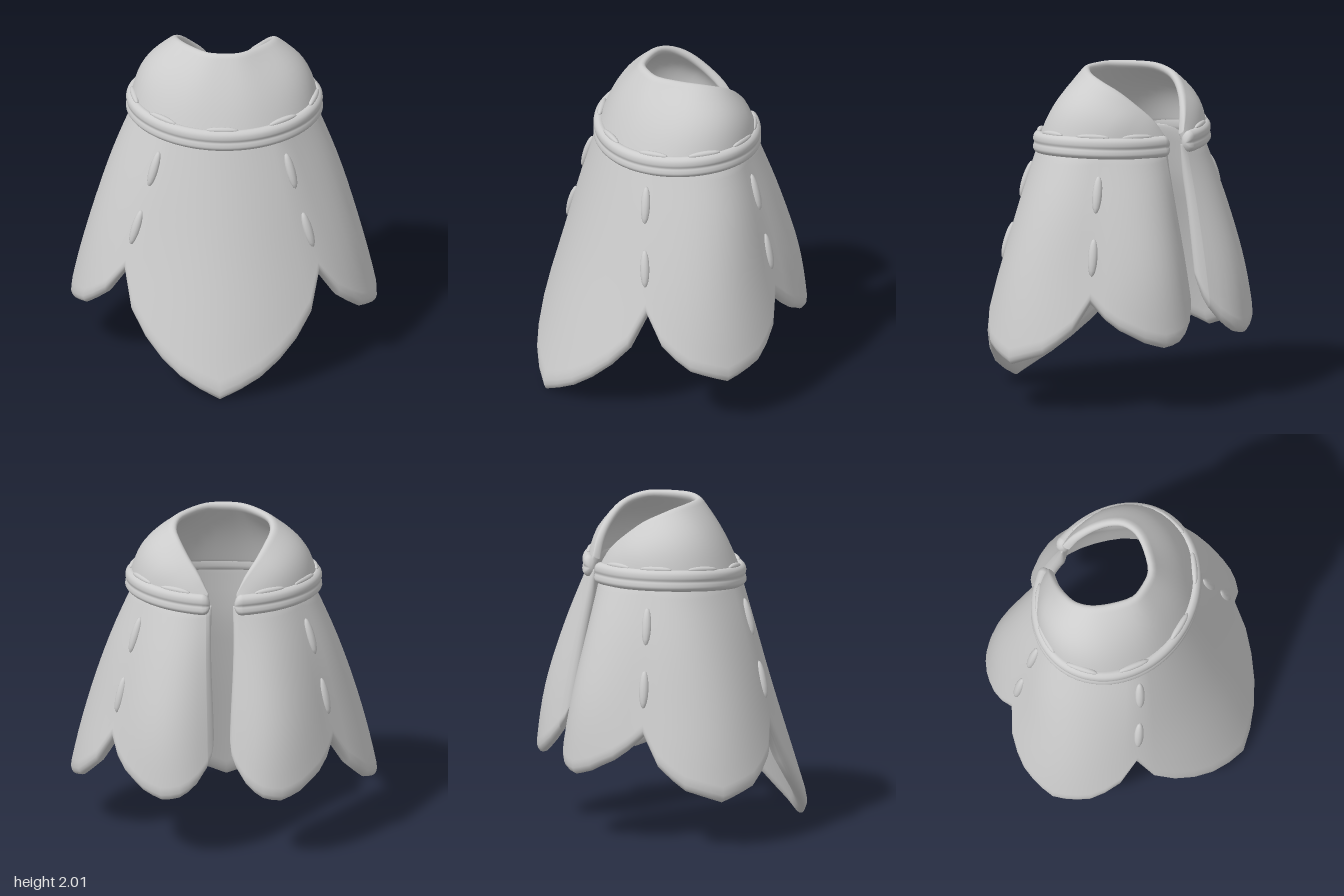
import * as THREE from 'three';
import { mergeVertices } from 'three/addons/utils/BufferGeometryUtils.js';

const V = (x, y, z) => new THREE.Vector3(x, y, z);
const cloth = new THREE.MeshStandardMaterial({ color: 0xcccccc });
cloth.name = 'plain cloth';

// Piecewise linear lookup in [[x, y], ...]
function lookup(table, x) {
  for (let i = 1; i < table.length; i++) {
    const [x0, y0] = table[i - 1], [x1, y1] = table[i];
    if (x <= x1) return y0 + (y1 - y0) * (x - x0) / (x1 - x0);
  }
  return table[table.length - 1][1];
}

// Parameter steps from a to b, with extra steps where the edges round over
function steps(a, b, n, w) {
  const out = [];
  for (let i = 0; i <= n; i++) out.push(a + (b - a) * i / n);
  for (const k of [0.06, 0.25, 0.55, 1]) out.push(a + k * w, b - k * w);
  return out.sort((p, q) => p - q).filter((p, i, s) => i === 0 || p - s[i - 1] > 1e-5);
}

// Grid of points -> indexed faces
function addGrid(pos, idx, rows, flip) {
  const base = pos.length / 3, m = rows[0].length;
  rows.forEach(r => r.forEach(p => pos.push(p.x, p.y, p.z)));
  for (let i = 0; i < rows.length - 1; i++) for (let j = 0; j < m - 1; j++) {
    const a = base + i * m + j, b = a + m, c = b + 1, d = a + 1;
    if (flip) idx.push(a, c, b, a, d, c); else idx.push(a, b, c, a, c, d);
  }
}

function finish(pos, idx) {
  const g = new THREE.BufferGeometry();
  g.setAttribute('position', new THREE.Float32BufferAttribute(pos, 3));
  g.setIndex(idx);
  const merged = mergeVertices(g, 1e-4);
  merged.computeVertexNormals();
  return merged;
}

// Thick sheet with rounded edges, following surface P(u, v)
function shell(P, uMax, nu, nv, wu, wv, thickAt, flip) {
  const us = steps(-uMax, uMax, nu, wu), vs = steps(0, 1, nv, wv);
  const outer = [], inner = [], e = 0.004;
  for (const u of us) {
    const ro = [], ri = [];
    for (const v of vs) {
      const p = P(u, v), thick = thickAt(v);
      const du = P(Math.min(u + e, uMax), v).sub(P(Math.max(u - e, -uMax), v));
      const dv = P(u, Math.min(v + e, 1)).sub(P(u, Math.max(v - e, 0)));
      const n = du.cross(dv).normalize().multiplyScalar(flip ? -1 : 1);
      const d = Math.max(0, Math.min(1, (uMax - Math.abs(u)) / wu, (1 - v) / wv, v / wv));
      const h = Math.sqrt(1 - (1 - d) ** 2);
      ro.push(p.clone().addScaledVector(n, -thick / 2 * (1 - h)));
      ri.push(p.clone().addScaledVector(n, -thick / 2 * (1 + h)));
    }
    outer.push(ro); inner.push(ri);
  }
  const pos = [], idx = [];
  addGrid(pos, idx, outer, flip);
  addGrid(pos, idx, inner, !flip);
  return finish(pos, idx);
}

// Skirt guide lines as [x, z] at heights 1.6, 1.2, 0.8, 0.4, 0
const guide = pts => new THREE.CatmullRomCurve3(
  pts.map(([x, z], i) => V(x, 1.6 - 0.4 * i, z)), false, 'catmullrom');
const front = guide([[0, 0.345], [0, 0.455], [0, 0.57], [0, 0.695], [0, 0.82]]);
const frontSeam = guide([[0.335, 0.26], [0.445, 0.335], [0.562, 0.388], [0.68, 0.44], [0.785, 0.485]]);
const side = guide([[0.52, -0.07], [0.685, -0.03], [0.815, 0], [0.915, 0], [0.98, 0]]);
const backSeam = guide([[0.445, -0.325], [0.56, -0.38], [0.65, -0.425], [0.74, -0.465], [0.81, -0.5]]);
const back = guide([[0.265, -0.47], [0.32, -0.62], [0.36, -0.735], [0.37, -0.79], [0.37, -0.81]]);
const backEdge = guide([[0.065, -0.515], [0.05, -0.59], [0.03, -0.66], [0.025, -0.725], [0.03, -0.765]]);
const at = (curve, y) => curve.getPoint((1.6 - y) / 1.6);

// Lower edges of the petals, by position across each petal
const frontHem = [[0, 0], [0.3, 0.1], [0.59, 0.25], [0.82, 0.43], [0.94, 0.56], [1, 0.67]];
const sideHem = [[0, 0.28], [0.5, 0.355], [0.8, 0.465], [0.94, 0.58], [1, 0.67]];
const backHem = [[-1, 0.67], [-0.9, 0.605], [-0.7, 0.52], [-0.3, 0.425], [0, 0.395], [0.3, 0.41],
  [0.6, 0.47], [0.8, 0.55], [0.92, 0.64], [1, 0.78]];

function skirtPoint(u, v) {
  const a = Math.abs(u), k = a <= 0.5 ? 0 : a <= 1.5 ? 1 : 2, s = 2 * (a - k);
  const hem = k === 0 ? lookup(frontHem, s) : k === 1 ? lookup(sideHem, Math.abs(s)) : lookup(backHem, s);
  const y = 1.56 + (hem - 1.56) * v;
  const M = at([front, side, back][k], y);
  const R = at([frontSeam, backSeam, backEdge][k], y);
  const L = k === 0 ? V(-R.x, y, R.z) : at([null, frontSeam, backSeam][k], y);
  // Bowed cross-section through seam, middle and seam
  const p = M.clone().addScaledVector(R.clone().sub(L), s / 2)
    .addScaledVector(R.clone().add(L).multiplyScalar(0.5).sub(M), s * s);
  return V(u < 0 ? -p.x : p.x, y, p.z);
}

// Ring followed by the collar base and the band
const END = 2.98;
const bandY = a => 1.56 - 0.02 * Math.cos(a) - 0.015 * Math.cos(2 * a);
const ring = (a, off = 0, dy = 0) =>
  V((0.56 + off) * Math.sin(a), bandY(a) + dy, -0.09 + (0.45 + off) * Math.cos(a));

// Neck opening, from the front round to the back
const rim = new THREE.CatmullRomCurve3([V(-0.11, 2.005, 0.1), V(0, 2.005, 0.12), V(0.11, 2.005, 0.1), V(0.215, 2.002, 0),
  V(0.285, 1.992, -0.11), V(0.3, 1.96, -0.22), V(0.265, 1.91, -0.315), V(0.205, 1.83, -0.4),
  V(0.135, 1.735, -0.475), V(0.08, 1.63, -0.515)], false, 'catmullrom');

function collarPoint(u, v) {
  const t = Math.abs(u), a = t * END;
  const p = ring(a, 0.012).lerp(rim.getPoint((1 + 8 * t) / 9), v);
  const bulge = (0.02 + 0.05 * Math.sin(a) ** 2) * Math.sin(Math.PI * v) * Math.min(1, 4 * (1 - t));
  p.add(V(Math.sin(a) * 0.8, 0.6, Math.cos(a) * 0.8).multiplyScalar(bulge));
  return V(u < 0 ? -p.x : p.x, p.y, p.z);
}

// Band with two soft rolls, closed at both ends
function bandGeometry() {
  const profile = new THREE.CatmullRomCurve3([[-0.035, -0.045], [0.012, -0.058], [0.036, -0.036], [0.035, -0.012],
    [0.03, 0.004], [0.036, 0.024], [0.03, 0.054], [0.004, 0.072], [-0.035, 0.05]].map(([x, y]) => V(x, y, 0)), true);
  const pts = profile.getPoints(32);
  const rows = steps(-END - 0.03, END + 0.03, 72, 0.07).map(a => {
    const d = Math.min(1, Math.max(0, (END + 0.03 - Math.abs(a)) / 0.07));
    const h = Math.sqrt(1 - (1 - d) ** 2);
    return pts.map(p => ring(a, p.x * h, p.y * h));
  });
  const pos = [], idx = [];
  addGrid(pos, idx, rows, false);
  return finish(pos, idx);
}

// Long rounded stitch lying along a direction
const bead = new THREE.SphereGeometry(1, 12, 8);
function stitch(name, p, along, out, length, width, height) {
  const m = new THREE.Mesh(bead, cloth);
  const y = along.clone().normalize();
  const x = y.clone().cross(out).normalize();
  const z = x.clone().cross(y);
  m.name = name;
  m.quaternion.setFromRotationMatrix(new THREE.Matrix4().makeBasis(x, y, z));
  m.position.copy(p);
  m.scale.set(width, length, height);
  return m;
}

export function createModel() {
  const group = new THREE.Group();
  group.name = 'petal cape';
  const add = (name, geometry) => {
    const m = new THREE.Mesh(geometry, cloth);
    m.name = name;
    group.add(m);
  };
  add('petalSkirt', shell(skirtPoint, 2.5, 60, 14, 0.08, 0.055, v => 0.025 + 0.055 * Math.min(1, 4 * v), true));
  add('collar', shell(collarPoint, 1, 48, 12, 0.015, 0.06, () => 0.05, false));
  add('collarBand', bandGeometry());

  // Running stitches above the band
  for (const a of [0, 0.72, -0.72, 1.4, -1.4, 2.05, -2.05, 2.6, -2.6]) {
    const along = ring(a + 0.05).sub(ring(a - 0.05));
    group.add(stitch('bandStitch', ring(a, -0.008, 0.072), along, V(Math.sin(a), 0.6, Math.cos(a)), 0.1, 0.02, 0.022));
  }
  // Stitches down the petal seams
  for (const sx of [1, -1]) for (const [seam, out] of [[frontSeam, V(0.6, 0.2, 0.75)], [backSeam, V(0.75, 0.2, -0.6)]])
    for (const y of [1.31, 0.94]) {
      const flipX = p => V(p.x * sx, p.y, p.z);
      const along = at(seam, y + 0.1).sub(at(seam, y - 0.1));
      group.add(stitch('seamStitch', flipX(at(seam, y)), flipX(along), flipX(out), 0.115, 0.03, 0.026));
    }
  return group;
}
